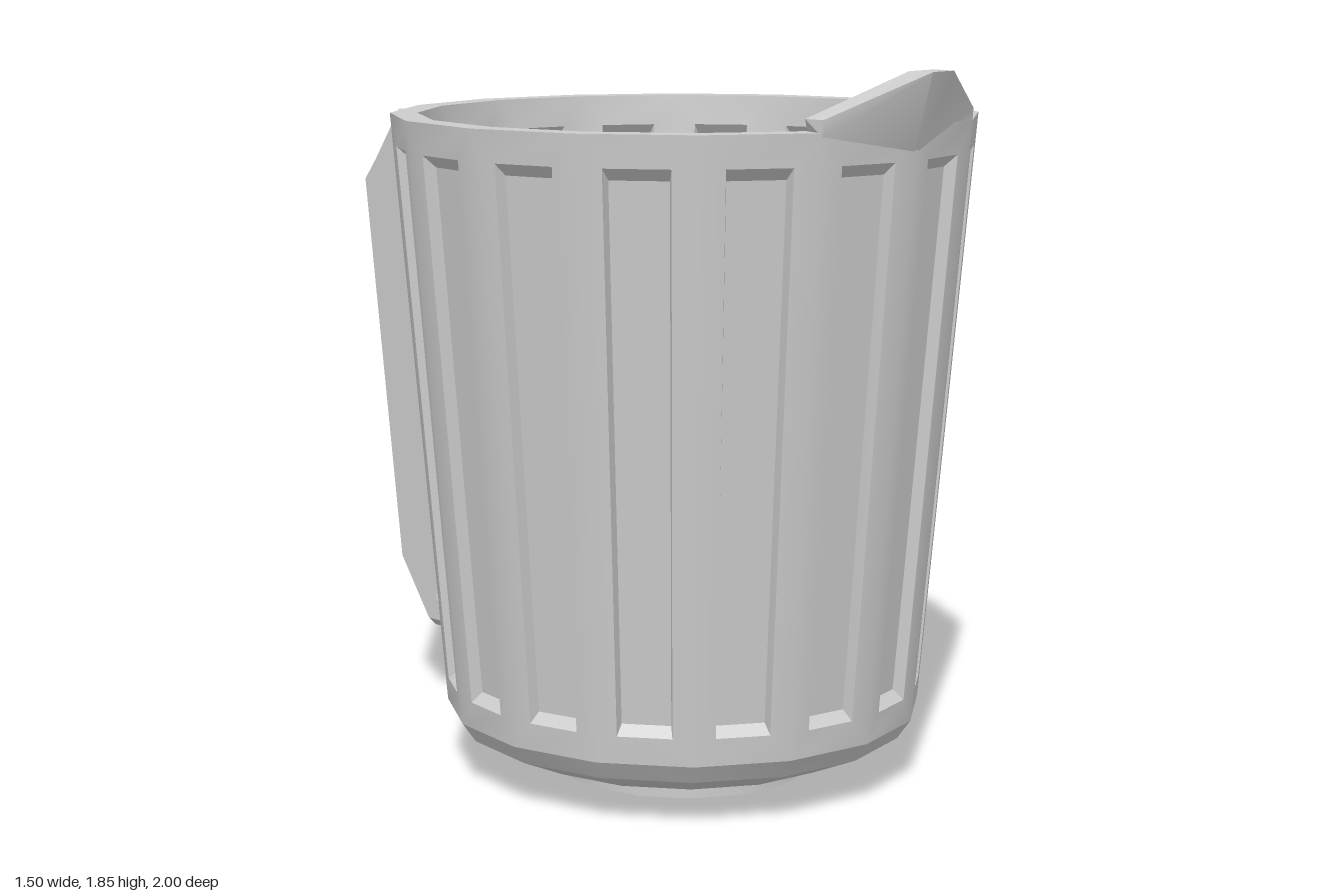
import * as THREE from 'three';
import { toCreasedNormals } from 'three/addons/utils/BufferGeometryUtils.js';

const SIDES = 16, CENTRE_Z = 0.18;
const WALL_BOTTOM = 0.17, WALL_TOP = 1.71;
const material = new THREE.MeshStandardMaterial({ color: 0xcccccc });

// Collects quads (corners counter-clockwise) into one geometry
class QuadBuilder {
  constructor() { this.positions = []; }
  quad(a, b, c, d) {
    for (const p of [a, b, c, a, c, d]) this.positions.push(...p);
  }
  build() {
    const g = new THREE.BufferGeometry();
    g.setAttribute('position', new THREE.Float32BufferAttribute(this.positions, 3));
    return g;
  }
}

function makeMesh(name, geometry) {
  const mesh = new THREE.Mesh(toCreasedNormals(geometry, 0.45), material);
  mesh.name = name;
  return mesh;
}

function lathe(name, profile) {
  return makeMesh(name, new THREE.LatheGeometry(profile.map(p => new THREE.Vector2(...p)), SIDES));
}

// Tapered wall of flat sides, each with a bevelled, sunken panel
function panelledWall(name, rBottom, rTop, recess, inward) {
  const builder = new QuadBuilder();
  const quad = (a, b, c, d) => inward ? builder.quad(d, c, b, a) : builder.quad(a, b, c, d);
  const step = Math.PI * 2 / SIDES;
  for (let i = 0; i < SIDES; i++) {
    const a0 = i * step, a1 = a0 + step, mid = a0 + step / 2;
    const point = (u, y, offset) => {
      const r = THREE.MathUtils.mapLinear(y, WALL_BOTTOM, WALL_TOP, rBottom, rTop);
      return [
        r * THREE.MathUtils.lerp(Math.sin(a0), Math.sin(a1), u) + offset * Math.sin(mid),
        y,
        r * THREE.MathUtils.lerp(Math.cos(a0), Math.cos(a1), u) + offset * Math.cos(mid),
      ];
    };
    const rect = (u, y0, y1, offset) => [
      point(u, y0, offset), point(1 - u, y0, offset), point(1 - u, y1, offset), point(u, y1, offset),
    ];
    const rings = [
      rect(0, WALL_BOTTOM, WALL_TOP, 0),
      rect(0.22, 0.24, 1.63, 0),
      rect(0.25, 0.265, 1.6, recess),
    ];
    for (let n = 0; n < 2; n++) {
      for (let k = 0; k < 4; k++) {
        const m = (k + 1) % 4;
        quad(rings[n][k], rings[n][m], rings[n + 1][m], rings[n + 1][k]);
      }
    }
    quad(...rings[2]);
  }
  return makeMesh(name, builder.build());
}

// Pouring lip: cross-sections from side to side, each outer bottom, outer top, inner top, inner bottom
function createSpout() {
  const side = x => [[x, 1.7, 0.872], [x, 1.74, 0.875], [x, 1.74, 0.82], [x * 0.91, 1.7, 0.806]];
  const tip = x => [[x * 0.2, 1.65, 0.922], [x, 1.845, 1], [x * 1.2, 1.845, 0.935], [x * 0.4, 1.7, 0.858]];
  const sections = [side(-0.287), tip(-0.04), tip(0.04), side(0.287)];
  const builder = new QuadBuilder();
  for (let i = 0; i < 3; i++) {
    const s = sections[i], t = sections[i + 1];
    for (let k = 0; k < 4; k++) {
      const m = (k + 1) % 4;
      builder.quad(s[k], t[k], t[m], s[m]);
    }
  }
  builder.quad(...sections[0]);
  builder.quad(...[...sections[3]].reverse());
  return makeMesh('spout', builder.build());
}

// Closed outline with rounded corners
function roundedPath(corners, radius) {
  const path = new THREE.Path();
  const pts = corners.map(c => new THREE.Vector2(...c));
  pts.forEach((p, i) => {
    const prev = pts[(i + pts.length - 1) % pts.length], next = pts[(i + 1) % pts.length];
    const a = prev.clone().sub(p).setLength(radius).add(p);
    const b = next.clone().sub(p).setLength(radius).add(p);
    if (i === 0) path.moveTo(a.x, a.y); else path.lineTo(a.x, a.y);
    path.quadraticCurveTo(p.x, p.y, b.x, b.y);
  });
  path.closePath();
  return path;
}

// Handle: flat plate with a long grip opening and a chamfered outer edge
function createHandle() {
  const group = new THREE.Group();
  group.name = 'handle';
  const half = 0.066, flat = 0.032;
  // Points are distance behind the centre, then height
  const outer = [[0.53, 1.695], [0.62, 1.678], [0.875, 1.67], [1, 1.49], [0.865, 0.4], [0.75, 0.208], [0.41, 0.208]];
  const inner = [[0.53, 1.64], [0.62, 1.633], [0.86, 1.628], [0.983, 1.47], [0.85, 0.4], [0.74, 0.235], [0.41, 0.235]];

  const shape = new THREE.Shape(inner.map(p => new THREE.Vector2(...p)));
  shape.holes.push(roundedPath([[0.515, 0.28], [0.71, 0.28], [0.835, 1.585], [0.64, 1.585]], 0.04));
  const plate = new THREE.ExtrudeGeometry(shape, { depth: half * 2, bevelEnabled: false, curveSegments: 5 });
  plate.translate(0, 0, -half).rotateY(Math.PI / 2);
  group.add(makeMesh('handlePlate', plate));

  const loop = (x, pts) => pts.map(([s, y]) => [x, y, -s]);
  const loops = [loop(-half, inner), loop(-flat, outer), loop(flat, outer), loop(half, inner)];
  const builder = new QuadBuilder();
  for (let i = 0; i < 3; i++) {
    const a = loops[i], b = loops[i + 1];
    for (let k = 0; k < a.length - 1; k++) builder.quad(a[k], b[k], b[k + 1], a[k + 1]);
  }
  group.add(makeMesh('handleEdge', builder.build()));
  return group;
}

export function createModel() {
  const model = new THREE.Group();
  model.name = 'jug';

  const body = new THREE.Group();
  body.name = 'body';
  body.position.z = CENTRE_Z;
  body.add(
    panelledWall('outerWall', 0.62, 0.75, -0.03, false),
    panelledWall('innerWall', 0.56, 0.68, 0.025, true),
    lathe('rim', [[0.75, WALL_TOP], [0.68, WALL_TOP]]),
    lathe('floor', [[0.56, WALL_BOTTOM], [0, WALL_BOTTOM]]),
    // Chamfered underside with a hollow foot ring
    lathe('base', [[0, 0.035], [0.3, 0.035], [0.3, 0], [0.338, 0], [0.338, 0.06],
      [0.45, 0.06], [0.585, 0.12], [0.62, WALL_BOTTOM]]),
  );

  model.add(body, createSpout(), createHandle());
  return model;
}
